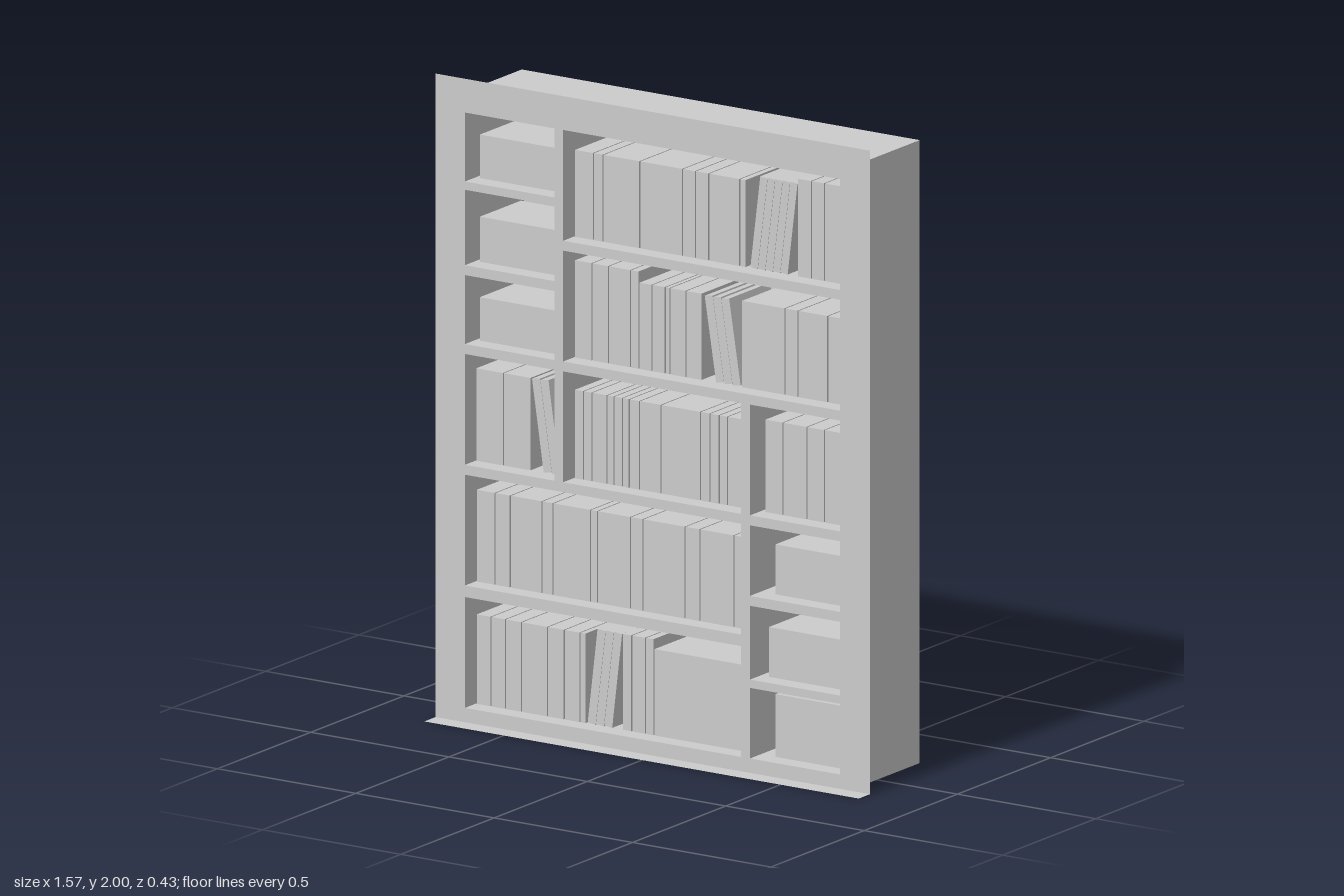
import * as THREE from 'three';

const FRONT = 0.15, BACK = -0.17, REAR = -0.215, BOOK_Z = 0.09, BOOK_BACK = -0.13;

// Openings: x0, x1, y0, y1
const OPENINGS = [
  [-0.68, -0.355, 1.68, 1.895], [-0.68, -0.355, 1.42, 1.655], [-0.68, -0.355, 1.175, 1.39],
  [-0.68, -0.355, 0.8, 1.145], [-0.325, 0.677, 1.55, 1.895], [-0.325, 0.677, 1.175, 1.52],
  [-0.325, 0.32, 0.8, 1.145], [0.35, 0.677, 0.8, 1.145], [-0.68, 0.32, 0.425, 0.77],
  [-0.68, 0.32, 0.045, 0.39], [0.35, 0.677, 0.55, 0.77], [0.35, 0.677, 0.29, 0.52],
  [0.35, 0.677, 0.045, 0.265],
];

// Storage boxes: x0, x1, y0, y1
const BOXES = [
  [-0.665, -0.37, 1.68, 1.815], [-0.665, -0.37, 1.42, 1.56], [-0.665, -0.37, 1.175, 1.31],
  [0.403, 0.67, 0.55, 0.705], [0.38, 0.67, 0.29, 0.445], [0.403, 0.67, 0.045, 0.24],
];

// Upright books: shelf height, top, dividing lines between spines
const ROWS = [
  [1.55, 1.82, [-0.323, -0.255, -0.22, -0.087, 0.068, 0.114, 0.162, 0.274, 0.297]],
  [1.55, 1.853, [0.483, 0.533, 0.58, 0.675]],
  [1.175, 1.477, [-0.323, -0.26, -0.2, -0.12, -0.09]],
  [1.175, 1.443, [-0.09, -0.043, 0.005, 0.022, 0.08, 0.138]],
  [1.175, 1.443, [0.28, 0.437, 0.485, 0.592, 0.675]],
  [0.8, 1.087, [-0.68, -0.58, -0.48]],
  [0.8, 1.075, [-0.323, -0.29, -0.26, -0.205, -0.18, -0.15, -0.125, -0.088, -0.01, 0.132, 0.166, 0.2, 0.23, 0.318]],
  [0.8, 1.087, [0.365, 0.43, 0.517, 0.58, 0.675]],
  [0.425, 0.71, [-0.678, -0.61, -0.555, -0.44, -0.4, -0.265, -0.24, -0.12, -0.075, 0.077, 0.13, 0.253, 0.318]],
  [0.045, 0.323, [-0.678, -0.625, -0.573, -0.515, -0.42, -0.36, -0.303, -0.282]],
  [0.045, 0.343, [-0.15, -0.116, -0.066, -0.036]],
  [0.045, 0.313, [-0.036, 0.318]],
];

// Leaning books: shelf height, top, foot x0, foot x1, sideways lean, count
const LEANING = [
  [1.55, 1.84, 0.312, 0.448, 0.036, 5],
  [1.175, 1.443, 0.188, 0.278, -0.042, 3],
  [0.8, 1.09, -0.435, -0.374, -0.043, 2],
  [0.045, 0.345, -0.276, -0.186, 0.036, 3],
];

function rectPath(Type, x0, x1, y0, y1) {
  return new Type([[x0, y0], [x1, y0], [x1, y1], [x0, y1]].map(([x, y]) => new THREE.Vector2(x, y)));
}

function piercedPanel(x0, x1, y0, y1) {
  const shape = rectPath(THREE.Shape, x0, x1, y0, y1);
  for (const o of OPENINGS) shape.holes.push(rectPath(THREE.Path, ...o));
  return shape;
}

export function createModel() {
  const root = new THREE.Group();
  root.name = 'builtInBookcase';
  const solid = new THREE.MeshStandardMaterial({ color: 0xcccccc, flatShading: true });
  const sheet = new THREE.MeshStandardMaterial({ color: 0xcccccc, flatShading: true, side: THREE.DoubleSide });

  function add(parent, name, geometry, material = solid) {
    const mesh = new THREE.Mesh(geometry, material);
    mesh.name = name;
    parent.add(mesh);
    return mesh;
  }
  function block(parent, name, x0, x1, y0, y1, z0 = BOOK_BACK, z1 = BOOK_Z) {
    const mesh = add(parent, name, new THREE.BoxGeometry(x1 - x0, y1 - y0, z1 - z0));
    mesh.position.set((x0 + x1) / 2, (y0 + y1) / 2, (z0 + z1) / 2);
    return mesh;
  }

  // Face frame and floor flange
  add(root, 'faceFrame', new THREE.ShapeGeometry(piercedPanel(-0.785, 0.785, 0, 2)), sheet).position.z = FRONT;
  const flange = add(root, 'floorFlange', new THREE.PlaneGeometry(1.57, 0.06), sheet);
  flange.rotation.x = -Math.PI / 2;
  flange.position.set(0, 0.001, FRONT + 0.03);

  // Shelves and dividers with the compartments cut through
  const core = new THREE.ExtrudeGeometry(piercedPanel(-0.717, 0.717, 0.035, 1.937), {
    depth: FRONT - BACK - 0.002, bevelEnabled: false,
  });
  add(root, 'shelvesAndDividers', core).position.z = BACK;
  const back = add(root, 'backPanel', new THREE.PlaneGeometry(1.434, 1.902), sheet);
  back.position.set(0, 0.986, BACK - 0.001);

  // Thin outer casing, running past the back panel
  const depth = FRONT - REAR, midZ = (FRONT + REAR) / 2;
  for (const side of [-1, 1]) {
    const panel = add(root, side > 0 ? 'leftSide' : 'rightSide', new THREE.PlaneGeometry(depth, 1.935), sheet);
    panel.rotation.y = side * Math.PI / 2;
    panel.position.set(side * 0.719, 0.9725, midZ);
  }
  const top = add(root, 'topPanel', new THREE.PlaneGeometry(1.438, depth), sheet);
  top.rotation.x = -Math.PI / 2;
  top.position.set(0, 1.94, midZ);

  // Storage boxes
  for (const b of BOXES) block(root, 'storageBox', ...b);

  // Upright books with narrow gaps between spines
  const books = new THREE.Group();
  books.name = 'books';
  root.add(books);
  for (const [y0, y1, lines] of ROWS) {
    for (let i = 0; i < lines.length - 1; i++) {
      block(books, 'book', lines[i] + 0.002, lines[i + 1] - 0.002, y0, y1);
    }
  }

  // Leaning books, each tilted about its foot
  for (const [y0, y1, x0, x1, lean, count] of LEANING) {
    const angle = Math.atan2(lean, y1 - y0), step = (x1 - x0) / count;
    const width = step * Math.cos(angle) - 0.001;
    const height = (y1 - y0) / Math.cos(angle) - width * Math.abs(Math.tan(angle));
    for (let i = 0; i < count; i++) {
      const geometry = new THREE.BoxGeometry(width, height, BOOK_Z - BOOK_BACK);
      geometry.translate(0, height / 2, 0);
      const book = add(books, 'leaningBook', geometry);
      book.rotation.z = -angle;
      book.position.set(x0 + (i + 0.5) * step, y0 + width / 2 * Math.abs(Math.sin(angle)), (BOOK_Z + BOOK_BACK) / 2);
    }
  }
  return root;
}
